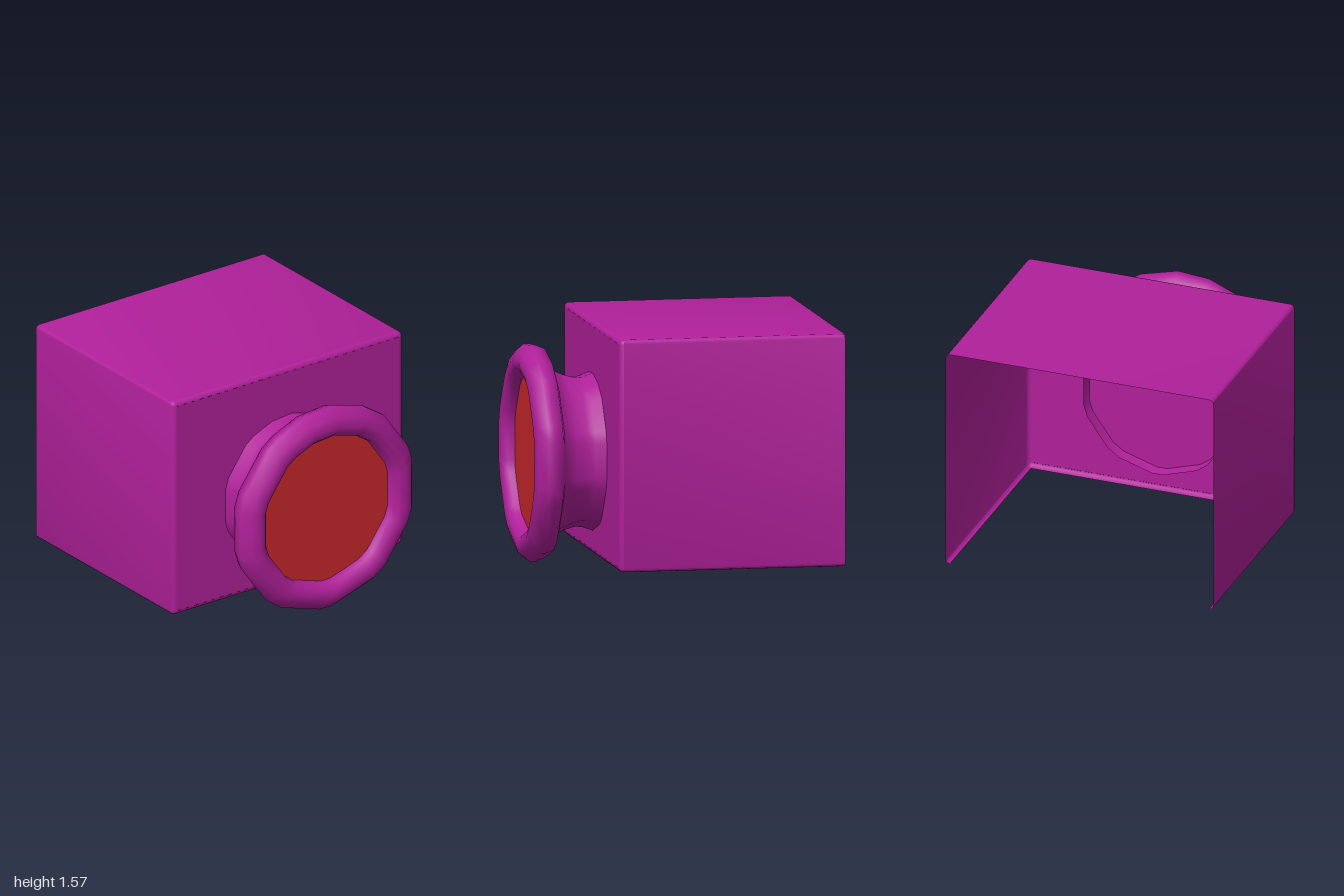
import * as THREE from 'three';
import { toCreasedNormals } from 'three/addons/utils/BufferGeometryUtils.js';

const purple = new THREE.MeshStandardMaterial({ color: 0xb0209a, side: THREE.DoubleSide });
const red = new THREE.MeshStandardMaterial({ color: 0xc8282c, side: THREE.DoubleSide });

// Skin between successive loops of Vector3 (loops counter-clockwise from +z, given front to back)
function loft(loops, crease) {
  const n = loops[0].length;
  const index = [];
  for (let i = 0; i < loops.length - 1; i++) {
    for (let j = 0; j < n - 1; j++) {
      const a = i * n + j, b = a + 1, c = a + n, d = c + 1;
      index.push(a, c, b, b, c, d);
    }
  }
  const geo = new THREE.BufferGeometry().setFromPoints(loops.flat());
  geo.setIndex(index);
  return toCreasedNormals(geo, crease);
}

function addMesh(parent, name, geometry, material) {
  const mesh = new THREE.Mesh(geometry, material);
  mesh.name = name;
  parent.add(mesh);
  return mesh;
}

// Rounded rectangle outline running from the lower right corner round to the lower left one
const HALF_W = 0.935, BOTTOM = 0.04, TOP = 1.57, R = 0.03;
function boxOutline(radius, z) {
  const x = HALF_W - R, lo = BOTTOM + R, hi = TOP - R;
  const corners = [[x, lo, -90], [x, hi, 0], [-x, hi, 90], [-x, lo, 180]];
  return corners.flatMap(([cx, cy, start]) => [0, 30, 60, 90].map((step) => {
    const a = THREE.MathUtils.degToRad(start + step);
    return new THREE.Vector3(cx + radius * Math.cos(a), cy + radius * Math.sin(a), z);
  }));
}

// Uneven twenty-sided ring: ten long sides with short ones between
const ringAngles = [13, 22, 49, 64, 86, 104, 122, 131, 158, 167,
  193, 202, 229, 239, 266, 274, 301, 311, 338, 347, 373];
const CENTRE_Y = 0.715;
function ringLoop(r, z) {
  return ringAngles.map((deg) => {
    const a = THREE.MathUtils.degToRad(deg);
    return new THREE.Vector3(r * Math.cos(a), CENTRE_Y + r * Math.sin(a), z);
  });
}

export function createModel() {
  const model = new THREE.Group();
  model.name = 'model';

  // Housing, open at the back and underneath
  const housing = new THREE.Group();
  housing.name = 'housing';
  model.add(housing);

  const front = 0.5;
  addMesh(housing, 'topAndSideWalls',
    loft([boxOutline(R, front - R), boxOutline(R, -1)], 0.3), purple);

  // Rounded front edge, all the way round
  const bevel = [0, 30, 60, 90].map((deg) => {
    const a = THREE.MathUtils.degToRad(deg);
    const loop = boxOutline(Math.max(R * Math.sin(a), 0.0005), front - R + R * Math.cos(a));
    return [...loop, loop[0].clone()];
  });
  addMesh(housing, 'frontEdge', loft(bevel, 0.6), purple);

  // Flat front wall
  const wall = new THREE.PlaneGeometry(2 * (HALF_W - R), TOP - BOTTOM - 2 * R);
  addMesh(housing, 'frontWall', wall, purple).position.set(0, (TOP + BOTTOM) / 2, front);

  // Flared neck and rounded rim, with a short skirt behind the front wall
  const profile = [
    [0.517, 0.90], [0.525, 0.95], [0.555, 0.985], [0.605, 1.0], [0.665, 0.98],
    [0.715, 0.92], [0.715, 0.88], [0.69, 0.82], [0.61, 0.795], [0.55, 0.78],
    [0.515, 0.70], [0.492, 0.62], [0.495, 0.57], [0.52, 0.50], [0.53, 0.42],
  ];
  addMesh(model, 'neckAndRim',
    loft(profile.map(([r, z]) => ringLoop(r, z)), 1.2), purple);

  // Red disc set inside the rim
  const disc = new THREE.Shape(ringLoop(0.52, 0).slice(0, -1).map((p) => new THREE.Vector2(p.x, p.y)));
  addMesh(model, 'disc', new THREE.ShapeGeometry(disc), red).position.z = 0.91;

  return model;
}
